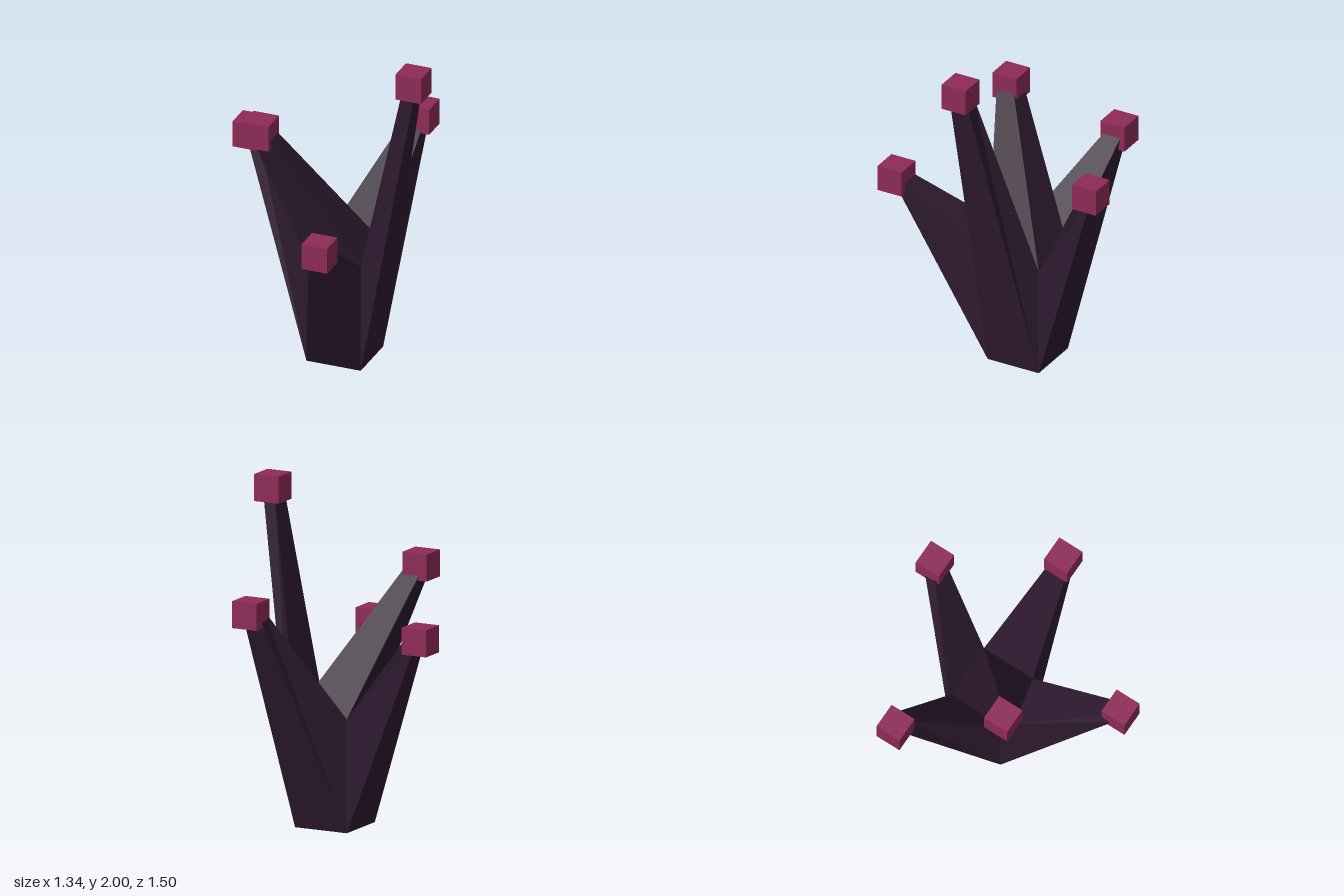
import * as THREE from 'three';

const CX = 0.09, CZ = -0.11, HALF = 0.17, BODY_H = 0.675; // stalk block
const TIP = 0.055, CUBE = 0.16;

// Tapered prism between two four-cornered rings, with the far end capped
function loft(a, b, material) {
  const pos = [];
  const quad = (p, q, r, s) => pos.push(...p, ...q, ...r, ...p, ...r, ...s);
  for (let i = 0; i < 4; i++) {
    const j = (i + 1) % 4;
    quad(a[i], a[j], b[j], b[i]);
  }
  quad(...b);
  const geo = new THREE.BufferGeometry();
  geo.setAttribute('position', new THREE.Float32BufferAttribute(pos, 3));
  geo.computeVertexNormals();
  return new THREE.Mesh(geo, material);
}

export function createModel() {
  const group = new THREE.Group();
  const stalkMat = new THREE.MeshStandardMaterial({ color: 0x2e1a30, flatShading: true });
  const budMat = new THREE.MeshStandardMaterial({ color: 0x8e2b57, flatShading: true });

  const addBud = (name, x, y, z) => {
    const bud = new THREE.Mesh(new THREE.BoxGeometry(CUBE, CUBE, CUBE), budMat);
    bud.name = name + 'Bud';
    bud.position.set(x, y, z);
    group.add(bud);
  };

  // Side branches: each grows from one side of the block.
  // d = outward direction, low / high = tip distance of lower and upper edges
  // along d, side = tip centre along the sideways axis
  const branches = [
    { name: 'left', d: [1, 0], low: 0.625, high: 0.55, side: -0.055, bud: [0.587, 1.92, 0.053] },
    { name: 'right', d: [-1, 0], low: 0.595, high: 0.52, side: -0.328, bud: [-0.592, 1.21, -0.33] },
    { name: 'front', d: [0, 1], low: 0.674, high: 0.62, side: 0.245, bud: [0.255, 1.045, 0.67] },
    { name: 'back', d: [0, -1], low: 0.7, high: 0.63, side: -0.325, bud: [0.338, 1.335, -0.672] },
  ];
  for (const { name, d, low, high, side, bud } of branches) {
    const [dx, dz] = d;
    const point = (out, s, y) => [dx * out + dz * s, y, dz * out - dx * s];
    const out = CX * dx + CZ * dz + HALF;
    const mid = CX * dz - CZ * dx;
    const base = [
      point(out, mid - HALF, 0), point(out, mid + HALF, 0),
      point(out, mid + HALF, BODY_H), point(out, mid - HALF, BODY_H),
    ];
    const y = bud[1];
    const tip = [
      point(low, side - TIP, y), point(low, side + TIP, y),
      point(high, side + TIP, y + 0.01), point(high, side - TIP, y + 0.01),
    ];
    const branch = loft(base, tip, stalkMat);
    branch.name = name + 'Branch';
    group.add(branch);
    addBud(name, ...bud);
  }

  // Top branch grows from the upper face of the block
  const ring = (x, y, z, h) => [[x - h, y, z + h], [x + h, y, z + h], [x + h, y, z - h], [x - h, y, z - h]];
  const top = loft(ring(CX, BODY_H, CZ, HALF), ring(-0.285, 1.52, 0.225, TIP), stalkMat);
  top.name = 'topBranch';
  group.add(top);
  addBud('top', -0.297, 1.52, 0.222);

  // Underside of the block
  const bottom = new THREE.Mesh(new THREE.PlaneGeometry(HALF * 2, HALF * 2).rotateX(Math.PI / 2), stalkMat);
  bottom.name = 'stalkBottom';
  bottom.position.set(CX, 0, CZ);
  group.add(bottom);

  return group;
}
